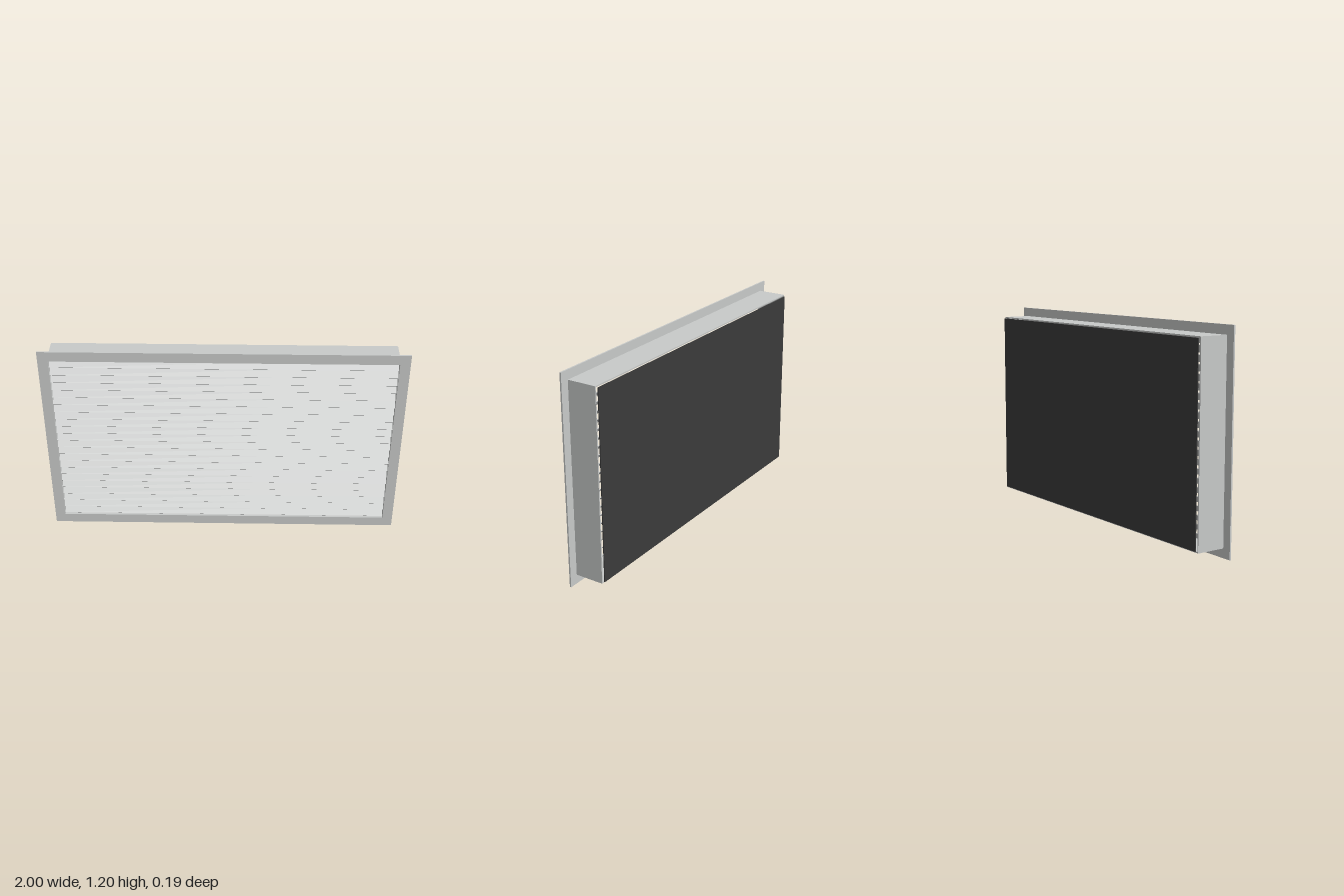
import * as THREE from 'three';

const MID_Y = 0.6;

// Rectangular ring centred on the grille, extruded from zBack to zFront
function ring(name, w, h, holeW, holeH, zBack, zFront, material) {
  const rect = (target, a, b) => target
    .moveTo(-a / 2, -b / 2).lineTo(a / 2, -b / 2).lineTo(a / 2, b / 2).lineTo(-a / 2, b / 2).closePath();
  const shape = rect(new THREE.Shape(), w, h);
  shape.holes.push(rect(new THREE.Path(), holeW, holeH));
  const geometry = new THREE.ExtrudeGeometry(shape, { depth: zFront - zBack, bevelEnabled: false });
  const mesh = new THREE.Mesh(geometry, material);
  mesh.name = name;
  mesh.position.set(0, MID_Y, zBack);
  return mesh;
}

export function createModel() {
  const model = new THREE.Group();
  model.name = 'louvredVent';

  const aluminium = new THREE.MeshStandardMaterial({ color: 0xc8cac9 });
  aluminium.name = 'aluminium';
  const darkMesh = new THREE.MeshStandardMaterial({ color: 0x3b3b3b });
  darkMesh.name = 'dark mesh';

  const openW = 1.886, openH = 1.082;

  // Front flange and the duct sleeve behind it
  model.add(ring('flange', 2, 1.2, openW, openH, 0.085, 0.094, aluminium));
  model.add(ring('sleeve', 1.9, 1.096, openW, openH, -0.083, 0.085, aluminium));

  // Slats sloping down towards the front
  const slats = new THREE.Group();
  slats.name = 'slats';
  const count = 22, pitch = openH / count;
  const slatGeometry = new THREE.BoxGeometry(openW, 0.004, 0.062);
  for (let i = 0; i < count; i++) {
    const slat = new THREE.Mesh(slatGeometry, aluminium);
    slat.name = 'slat';
    slat.position.set(0, MID_Y - openH / 2 + pitch * (i + 0.5), 0.06);
    slat.rotation.x = Math.PI / 4;
    slats.add(slat);
  }
  model.add(slats);

  // Dark screen just behind the sleeve
  const screen = new THREE.Mesh(new THREE.BoxGeometry(1.88, 1.08, 0.005), darkMesh);
  screen.name = 'rearScreen';
  screen.position.set(0, MID_Y, -0.0915);
  model.add(screen);

  return model;
}
